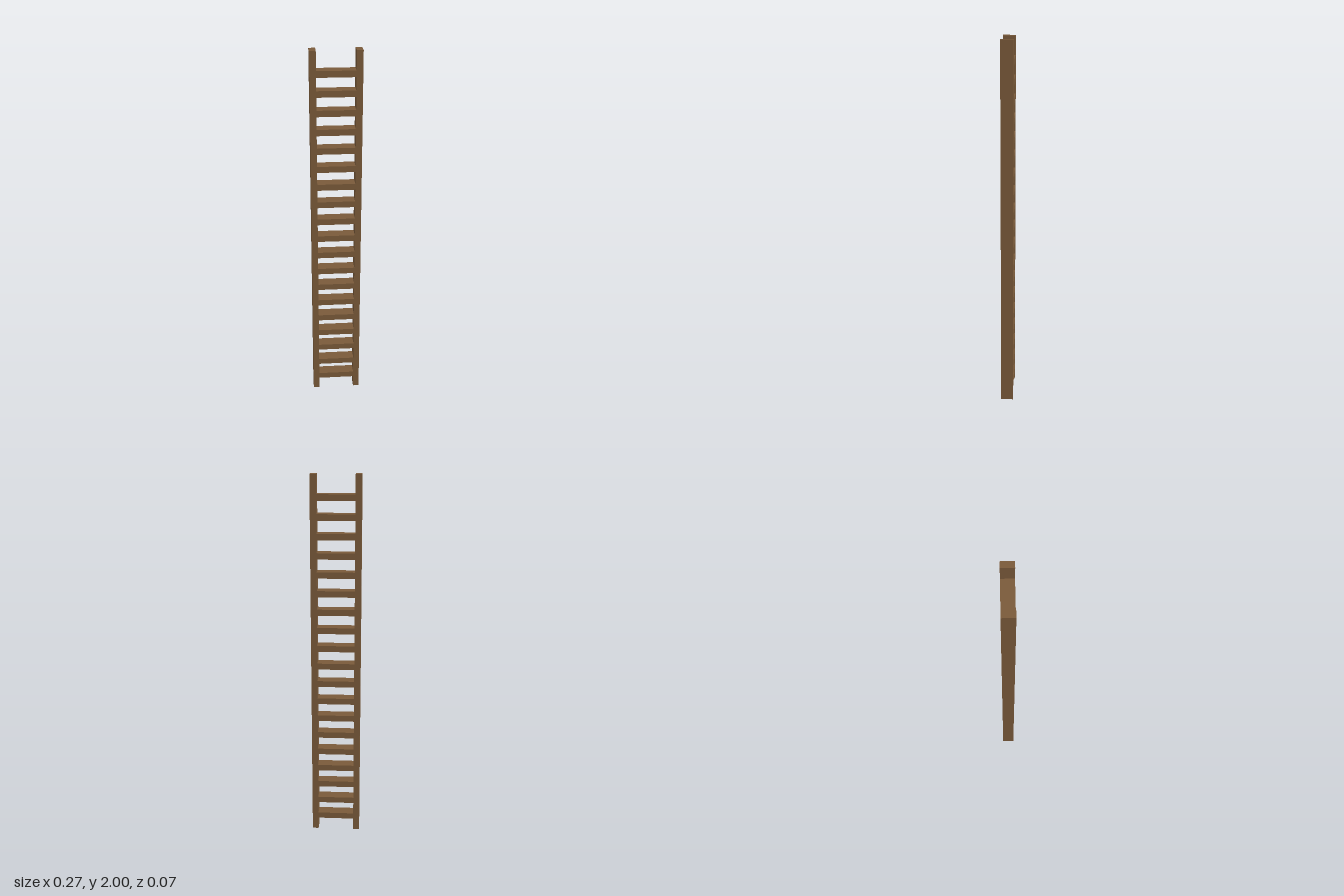
import * as THREE from 'three';

export function createModel() {
  const ladder = new THREE.Group();
  ladder.name = 'ladder';
  const wood = new THREE.MeshStandardMaterial({ color: 0x7a5a3a });
  wood.name = 'brown wood';

  const height = 2, depth = 0.0667, thickness = 0.0333, innerWidth = 0.2;

  const addBox = (name, w, h, x, y) => {
    const mesh = new THREE.Mesh(new THREE.BoxGeometry(w, h, depth), wood);
    mesh.name = name;
    mesh.position.set(x, y, 0);
    ladder.add(mesh);
  };

  // Side rails
  for (const side of [-1, 1]) {
    addBox(side > 0 ? 'leftRail' : 'rightRail', thickness, height,
      side * (innerWidth + thickness) / 2, height / 2);
  }

  // Evenly spaced rungs, flush with the rails front and back
  for (let i = 1; i <= 19; i++) {
    addBox(`rung${i}`, innerWidth, thickness, 0, i * 0.1 - thickness / 2);
  }
  return ladder;
}
